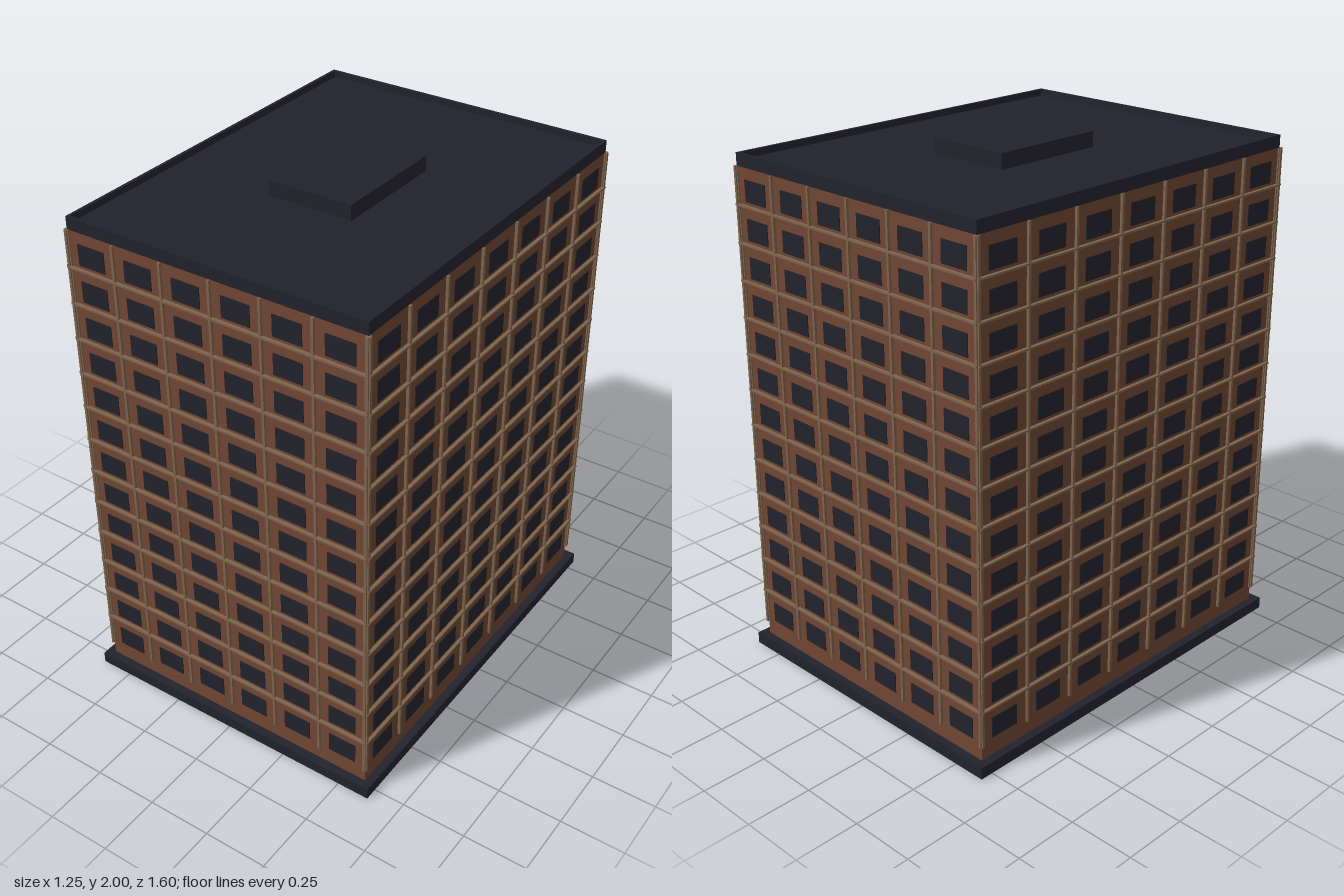
import * as THREE from 'three';

const mat = (name, color) => new THREE.MeshStandardMaterial({ name, color });

export function createModel() {
  const brick = mat('brick', 0x704632);
  const trim = mat('tan trim', 0x7d634d);
  const dark = mat('dark slate', 0x22222d);
  const model = new THREE.Group();
  model.name = 'apartmentTower';

  const W = 1.19, D = 1.534, BASE = 0.045, TOP = 1.92, ROOF = 1.967;
  const FLOORS = 13, STEP = 0.1402, FIRST = 0.156;

  const box = (parent, name, m, w, h, d, x, y, z) => {
    const mesh = new THREE.Mesh(new THREE.BoxGeometry(w, h, d), m);
    mesh.name = name;
    mesh.position.set(x, y, z);
    parent.add(mesh);
    return mesh;
  };

  // Plinth and main block
  box(model, 'plinth', dark, 1.254, BASE, 1.6, 0, BASE / 2, 0);
  box(model, 'brickBody', brick, W, TOP - BASE, D, 0, (TOP + BASE) / 2, 0);

  // Roof deck, thin parapet and rooftop plant room
  const deck = 1.942, t = 0.012, ph = ROOF - TOP, py = (ROOF + TOP) / 2;
  box(model, 'roofDeck', dark, W - 2 * t, deck - TOP, D - 2 * t, 0, (deck + TOP) / 2, 0);
  for (const s of [-1, 1]) {
    box(model, 'parapetSide', dark, t, ph, D, s * (W - t) / 2, py, 0);
    box(model, 'parapetEnd', dark, W - 2 * t, ph, t, 0, py, s * (D - t) / 2);
  }
  box(model, 'plantRoom', dark, 0.334, 2 - deck, 0.462, 0, (2 + deck) / 2, 0);

  // One facade, built in a frame whose +z points outward from the wall plane
  const facade = (name, width, bays, winW, distance, angle) => {
    const wall = new THREE.Group();
    wall.name = name;
    const bay = width / bays;
    for (let i = 0; i <= bays; i++) {
      box(wall, 'pilaster', trim, 0.01, TOP - 0.1, 0.02, -width / 2 + i * bay, (TOP + 0.1) / 2, distance);
    }
    for (let f = 0; f < FLOORS; f++) {
      const y = FIRST + f * STEP;
      if (f > 0) box(wall, 'sillLedge', trim, width + 0.01, 0.007, 0.026, 0, y - 0.055, distance);
      for (let i = 0; i < bays; i++) {
        box(wall, 'window', dark, winW, 0.08, 0.006, -width / 2 + (i + 0.5) * bay, y, distance);
      }
    }
    wall.rotation.y = angle;
    model.add(wall);
  };
  facade('frontFacade', W, 6, 0.113, D / 2, 0);
  facade('leftFacade', D, 7, 0.122, W / 2, Math.PI / 2);
  facade('backFacade', W, 6, 0.113, D / 2, Math.PI);
  facade('rightFacade', D, 7, 0.122, W / 2, -Math.PI / 2);

  return model;
}
